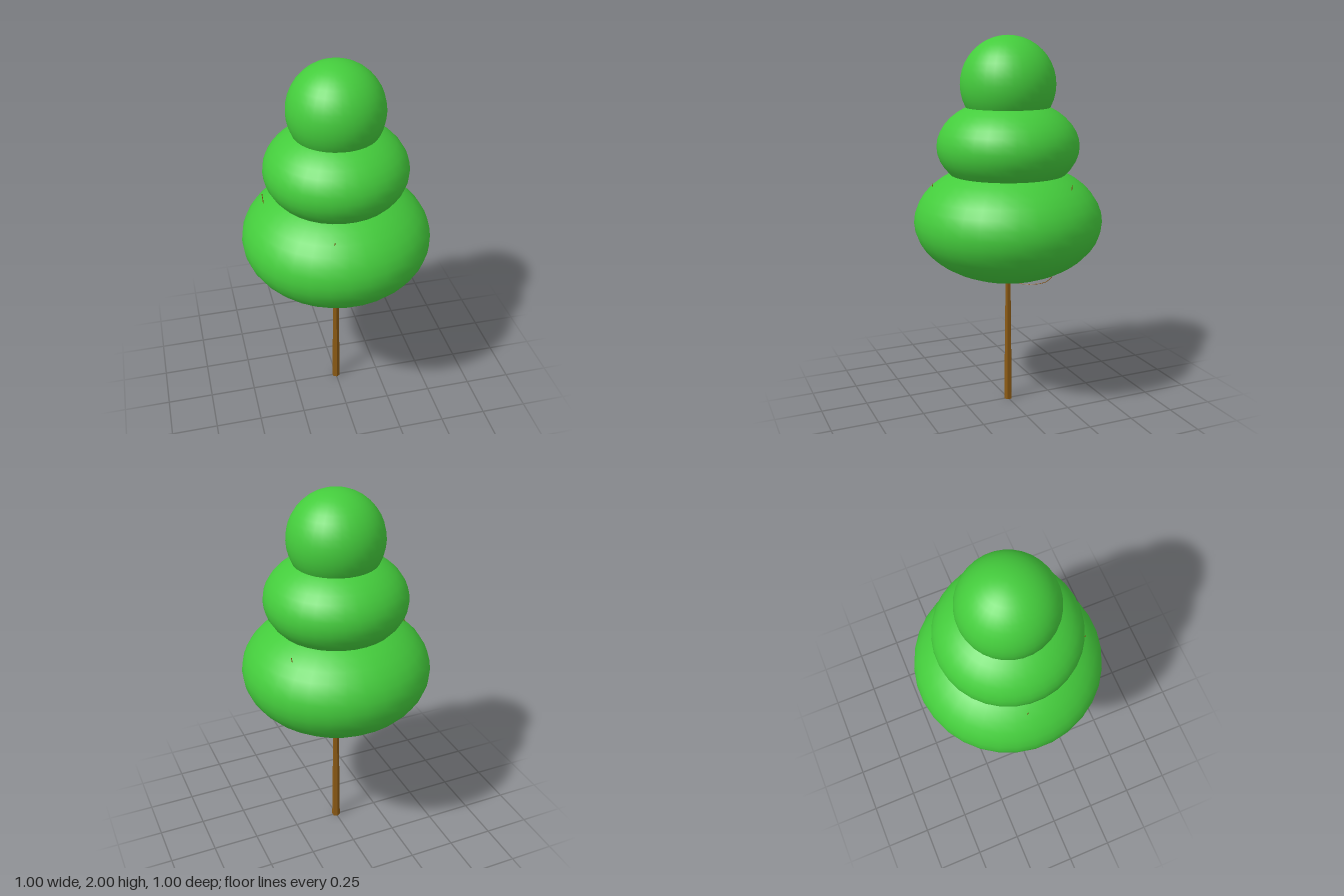
import * as THREE from 'three';

export function createModel() {
  const tree = new THREE.Group();
  tree.name = 'tree';
  const leaf = new THREE.MeshStandardMaterial({ color: 0x44cc3c });
  const bark = new THREE.MeshStandardMaterial({ color: 0x8b5a14 });
  const flatBark = new THREE.MeshStandardMaterial({ color: 0x8b5a14, flatShading: true });

  // Three stacked, flattened balls of foliage: [name, centre height, radius, half height]
  const tiers = [
    ['lowerFoliage', 1.03, 0.502, 0.322],
    ['middleFoliage', 1.43, 0.376, 0.25],
    ['topFoliage', 1.75, 0.25, 0.25],
  ];
  for (const [name, y, radius, halfHeight] of tiers) {
    const geometry = new THREE.SphereGeometry(1, 32, 20);
    geometry.rotateY(Math.PI / 32);
    geometry.scale(radius, halfHeight, radius);
    const ball = new THREE.Mesh(geometry, leaf);
    ball.name = name;
    ball.position.y = y;
    tree.add(ball);
  }

  // Slender tapering trunk, running up inside the foliage
  const trunk = new THREE.Mesh(new THREE.CylinderGeometry(0.004, 0.023, 1.65, 6), flatBark);
  trunk.name = 'trunk';
  trunk.position.y = 0.825;
  tree.add(trunk);

  // Thin twigs that dip below the foliage and rise through it to its upper side
  const twigs = [
    [[0, 0.74, 0], [-0.08, 0.712, -0.01], [-0.2, 0.72, -0.03], [-0.33, 0.85, -0.05], [-0.38, 1.3, -0.05]],
    [[0, 0.73, 0], [0.04, 0.685, -0.04], [0.1, 0.685, -0.1], [0.18, 0.725, -0.16], [0.28, 0.95, -0.2], [0.33, 1.26, -0.21]],
    [[0, 0.76, 0], [-0.03, 0.73, 0.08], [-0.07, 0.78, 0.22], [-0.1, 0.95, 0.34], [-0.1, 1.24, 0.39]],
  ];
  for (const points of twigs) {
    const curve = new THREE.CatmullRomCurve3(points.map((p) => new THREE.Vector3(...p)));
    const twig = new THREE.Mesh(new THREE.TubeGeometry(curve, 24, 0.002, 5), bark);
    twig.name = 'twig';
    tree.add(twig);
  }
  return tree;
}
